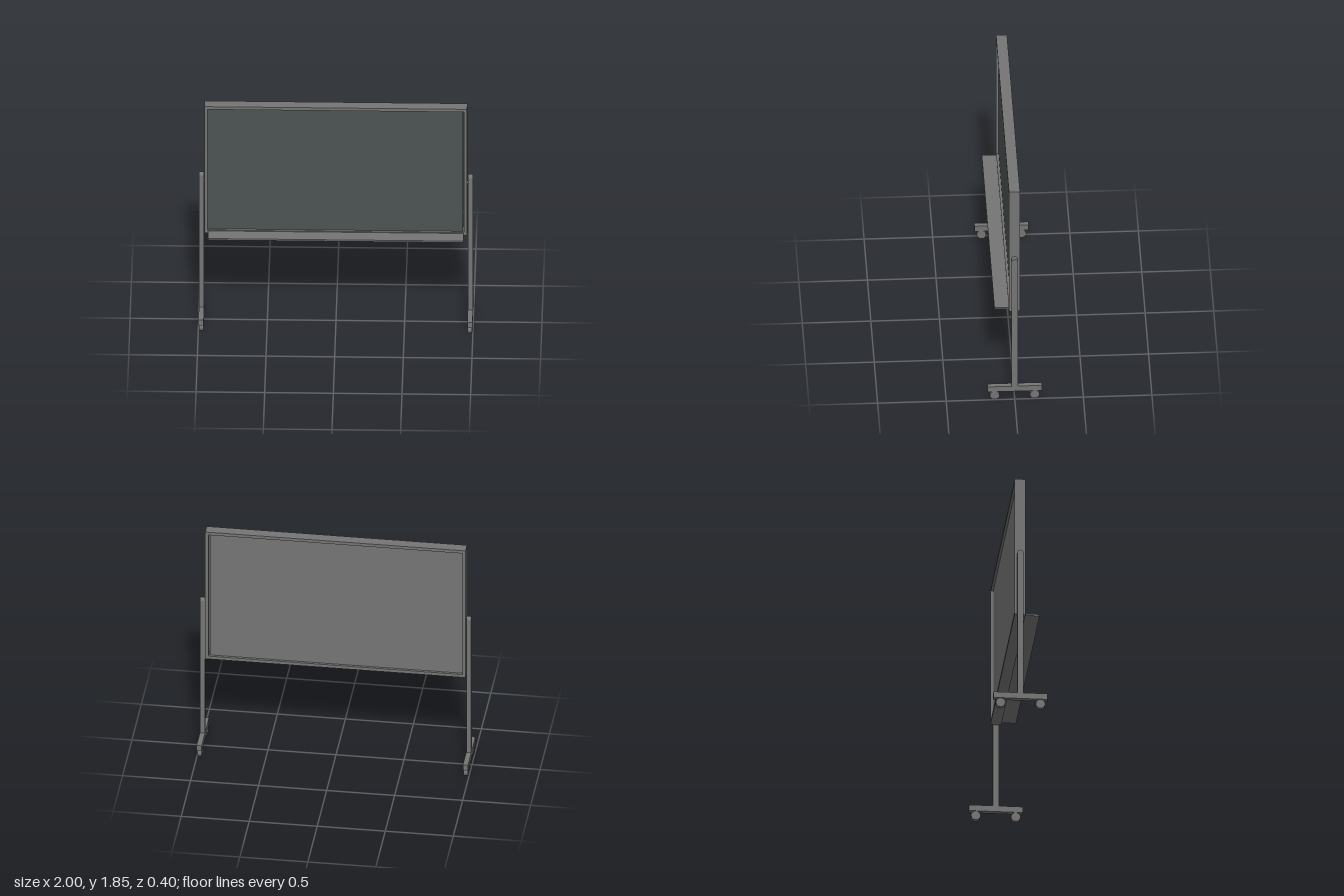
import * as THREE from 'three';

export function createModel() {
  const model = new THREE.Group();
  model.name = 'mobileBoard';
  const metal = new THREE.MeshStandardMaterial({ color: 0x757575 });
  metal.name = 'grey metal';
  const slate = new THREE.MeshStandardMaterial({ color: 0x4c5353 });
  slate.name = 'dark slate';

  const add = (name, geometry, material, parent = model) => {
    const mesh = new THREE.Mesh(geometry, material);
    mesh.name = name;
    parent.add(mesh);
    return mesh;
  };
  // Box given by its lower and upper corners
  const box = (name, [x0, y0, z0], [x1, y1, z1], material, parent) => {
    const mesh = add(name, new THREE.BoxGeometry(x1 - x0, y1 - y0, z1 - z0), material, parent);
    mesh.position.set((x0 + x1) / 2, (y0 + y1) / 2, (z0 + z1) / 2);
    return mesh;
  };

  // Surrounding frame with an open middle
  const frameShape = new THREE.Shape([
    [-0.958, 0.765], [0.956, 0.765], [0.956, 1.85], [-0.958, 1.85],
  ].map(([x, y]) => new THREE.Vector2(x, y)));
  frameShape.holes.push(new THREE.Path([
    [-0.935, 0.79], [-0.935, 1.826], [0.932, 1.826], [0.932, 0.79],
  ].map(([x, y]) => new THREE.Vector2(x, y))));
  const frameGeometry = new THREE.ExtrudeGeometry(frameShape, { depth: 0.08, bevelEnabled: false });
  add('frame', frameGeometry, metal).position.z = -0.04;

  // Recessed panel with a slate writing face; a narrow gap stays at one end
  box('backPanel', [-0.936, 0.789, -0.022], [0.925, 1.827, 0.016], metal);
  box('writingSurface', [-0.936, 0.789, 0.016], [0.925, 1.827, 0.022], slate);

  // Chalk tray
  box('tray', [-0.93, 0.77, 0.038], [0.93, 0.783, 0.145], metal);

  // Post outline with a rounded top
  const r = 0.022;
  const postShape = new THREE.Shape();
  postShape.moveTo(-r, 0.115);
  postShape.lineTo(r, 0.115);
  postShape.lineTo(r, 1.265 - r);
  postShape.absarc(0, 1.265 - r, r, 0, Math.PI, false);
  const postGeometry = new THREE.ExtrudeGeometry(postShape, {
    depth: 0.036, bevelEnabled: false, curveSegments: 10,
  });
  postGeometry.translate(0, 0, -0.018).rotateY(Math.PI / 2);
  const wheelGeometry = new THREE.CylinderGeometry(0.035, 0.035, 0.032, 20).rotateZ(Math.PI / 2);

  // Two stands: post, foot and a pair of wheels each
  for (const side of [-1, 1]) {
    const stand = new THREE.Group();
    stand.name = side > 0 ? 'leftStand' : 'rightStand';
    stand.position.x = side * 0.979;
    model.add(stand);
    add('post', postGeometry, metal, stand);
    box('foot', [-0.019, 0.07, -0.198], [0.019, 0.116, 0.198], metal, stand);
    for (const z of [-0.146, 0.146]) {
      add('wheel', wheelGeometry, metal, stand).position.set(0, 0.035, z);
    }
    // Pivot pin joining the post to the frame
    const pin = add('pivot', new THREE.CylinderGeometry(0.012, 0.012, 0.03, 12).rotateZ(Math.PI / 2), metal, stand);
    pin.position.set(-side * 0.018, 1.2, 0);
  }
  return model;
}
